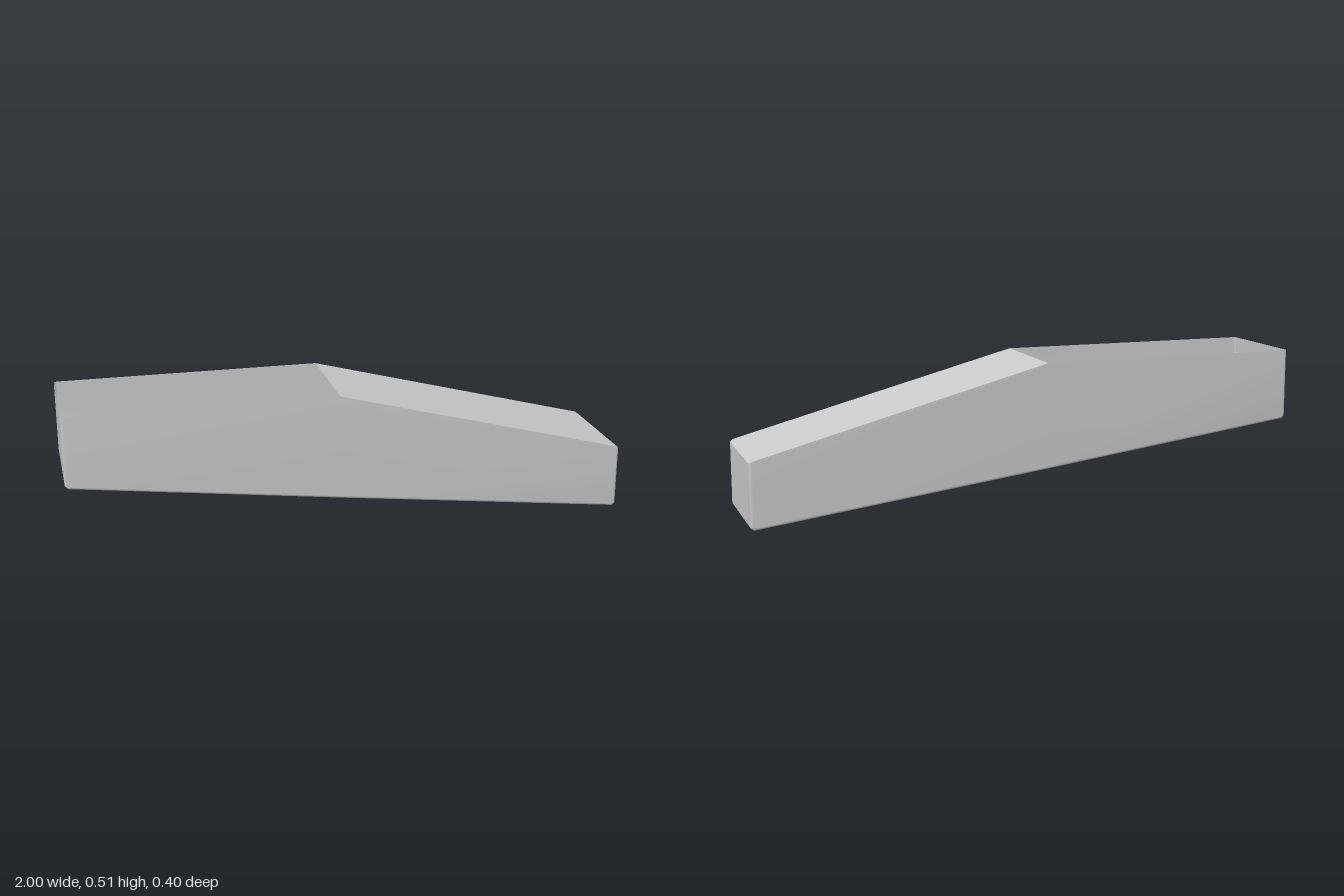
import * as THREE from 'three';

const steel = new THREE.MeshStandardMaterial({ color: 0xcccccc, side: THREE.DoubleSide });
steel.name = 'plain grey';

// Stations along the trough: x, bottom, top, half width, bottom bevel
const stations = [
  [-1, 0.262, 0.51, 0.19, 0.003],
  [-0.99, 0.253, 0.51, 0.2, 0.01],
  [-0.05, 0.131, 0.51, 0.2, 0.01],
  [0.99, 0, 0.236, 0.2, 0.01],
  [1, 0.008, 0.228, 0.19, 0.003],
];

// U-shaped section, from the front rim under the floor to the back rim
const section = ([x, bottom, top, w, c]) => [
  [x, top, w], [x, bottom + c, w], [x, bottom, w - c],
  [x, bottom, c - w], [x, bottom + c, -w], [x, top, -w],
];

// Skin a list of rows of points with quads
function loft(name, rows) {
  const n = rows[0].length, index = [];
  for (let i = 0; i < rows.length - 1; i++) {
    for (let j = 0; j < n - 1; j++) {
      const a = i * n + j, b = a + n;
      index.push(a, a + 1, b, b, a + 1, b + 1);
    }
  }
  return build(name, rows.flat(), index);
}

// Close one end with a flat fan
function cap(name, points, flip) {
  const index = [];
  for (let j = 1; j < points.length - 1; j++) {
    index.push(0, ...(flip ? [j + 1, j] : [j, j + 1]));
  }
  return build(name, points, index);
}

function build(name, points, index) {
  const geometry = new THREE.BufferGeometry();
  geometry.setAttribute('position', new THREE.Float32BufferAttribute(points.flat(), 3));
  geometry.setIndex(index);
  geometry.computeVertexNormals();
  const mesh = new THREE.Mesh(geometry, steel);
  mesh.name = name;
  return mesh;
}

export function createModel() {
  const group = new THREE.Group();
  group.name = 'chute';
  const rows = stations.map(section);

  // Walls and floor, open on top along the level half
  group.add(loft('wallsAndFloor', rows));

  // Sloping cover over the low half
  group.add(loft('slopingCover', rows.slice(2).map((r) => [r[5], r[0]])));

  // Closed ends
  group.add(cap('highEnd', rows[0], true));
  group.add(cap('lowEnd', rows[4], false));
  return group;
}
